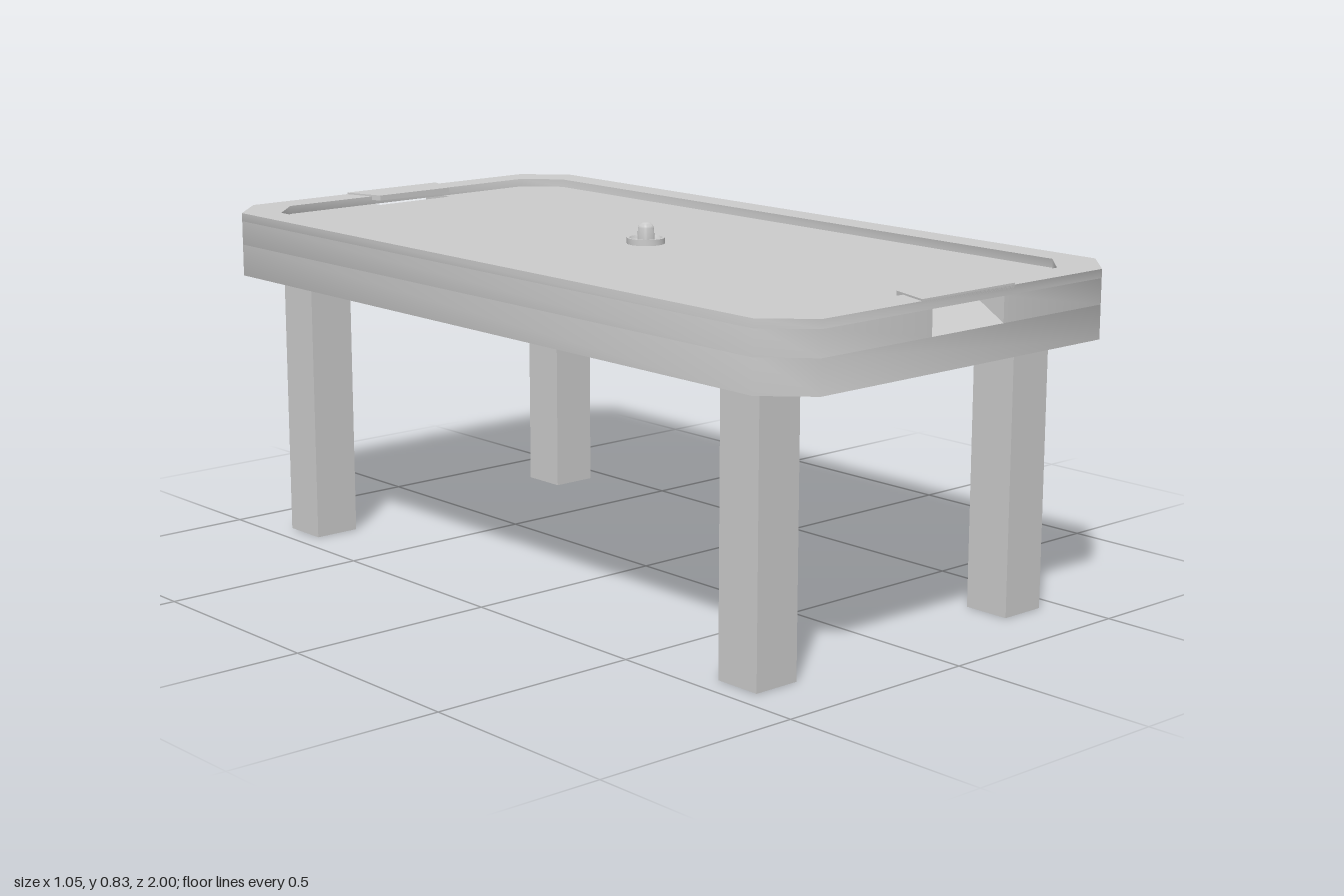
import * as THREE from 'three';
import { toCreasedNormals } from 'three/addons/utils/BufferGeometryUtils.js';

const material = new THREE.MeshStandardMaterial({ color: 0xcccccc });
const SLOT_Y = 0.725, BED_Y = 0.783, TOP_Y = 0.803, BASE_Y = 0.648;

function add(parent, name, geometry) {
  const mesh = new THREE.Mesh(geometry, material);
  mesh.name = name;
  parent.add(mesh);
  return mesh;
}

// Rectangle with cut corners, as points running counter-clockwise
function octagon(w, l, c) {
  return [[w, -l + c], [w, l - c], [w - c, l], [-w + c, l],
    [-w, l - c], [-w, -l + c], [-w + c, -l], [w - c, -l]]
    .map(([x, y]) => new THREE.Vector2(x, y));
}

// Upright extrusion of a plan outline between two heights
function layer(points, y0, y1, hole) {
  const shape = new THREE.Shape(points);
  if (hole) shape.holes.push(new THREE.Path(hole));
  const g = new THREE.ExtrudeGeometry(shape, { depth: y1 - y0, bevelEnabled: false });
  g.rotateX(-Math.PI / 2).translate(0, y0, 0);
  return toCreasedNormals(g, Math.PI / 3);
}

export function createModel() {
  const table = new THREE.Group();
  table.name = 'airHockeyTable';
  const outer = octagon(0.523, 1, 0.095);
  const inner = octagon(0.448, 0.925, 0.08);

  // Bed with a goal notch at each end
  const slotW = 0.11, slotZ = 0.9;
  const notch = (s) => [[s * slotW, s], [s * slotW, s * slotZ], [-s * slotW, s * slotZ], [-s * slotW, s]]
    .map(([x, y]) => new THREE.Vector2(x, y));
  const notched = [...outer.slice(0, 3), ...notch(1), ...outer.slice(3, 7), ...notch(-1), outer[7]];
  add(table, 'underside', layer(outer, BASE_Y, SLOT_Y));
  add(table, 'bed', layer(notched, SLOT_Y, BED_Y));
  add(table, 'rim', layer(outer, BED_Y, TOP_Y, inner));

  // Goals: sloping chute and thin cover plate
  for (const end of [1, -1]) {
    const goal = new THREE.Group();
    goal.name = end > 0 ? 'frontGoal' : 'backGoal';
    const profile = new THREE.Shape([[1, SLOT_Y], [slotZ, BED_Y], [slotZ, SLOT_Y]]
      .map(([z, y]) => new THREE.Vector2(z, y)));
    const chute = new THREE.ExtrudeGeometry(profile, { depth: slotW * 2, bevelEnabled: false });
    chute.rotateY(-Math.PI / 2).translate(slotW, 0, 0);
    add(goal, 'goalChute', chute);
    const plate = [[-0.142, -1], [0.142, -1], [0.11, -slotZ], [-0.11, -slotZ]]
      .map(([x, y]) => new THREE.Vector2(x, y));
    add(goal, 'goalCover', layer(plate, 0.794, 0.807));
    goal.rotation.y = end > 0 ? 0 : Math.PI;
    table.add(goal);
  }

  // Striker: dished disc with a round-topped knob
  const profile = [[0, 0], [0.045, 0], [0.045, 0.014], [0.039, 0.014], [0.035, 0.007], [0.02, 0.007], [0.019, 0.032]];
  for (let i = 1; i <= 6; i++) {
    const a = (i / 6) * Math.PI / 2;
    profile.push([0.019 * Math.cos(a), 0.032 + 0.019 * Math.sin(a)]);
  }
  const lathe = new THREE.LatheGeometry(profile.map(([x, y]) => new THREE.Vector2(Math.max(x, 0), y)), 24);
  add(table, 'striker', toCreasedNormals(lathe, Math.PI / 5)).position.y = BED_Y;

  // Legs
  for (const x of [-1, 1]) for (const z of [-1, 1]) {
    const leg = add(table, `${z > 0 ? 'front' : 'back'}${x > 0 ? 'Left' : 'Right'}Leg`,
      new THREE.BoxGeometry(0.115, BASE_Y, 0.115));
    leg.position.set(x * 0.387, BASE_Y / 2, z * 0.787);
  }
  return table;
}
